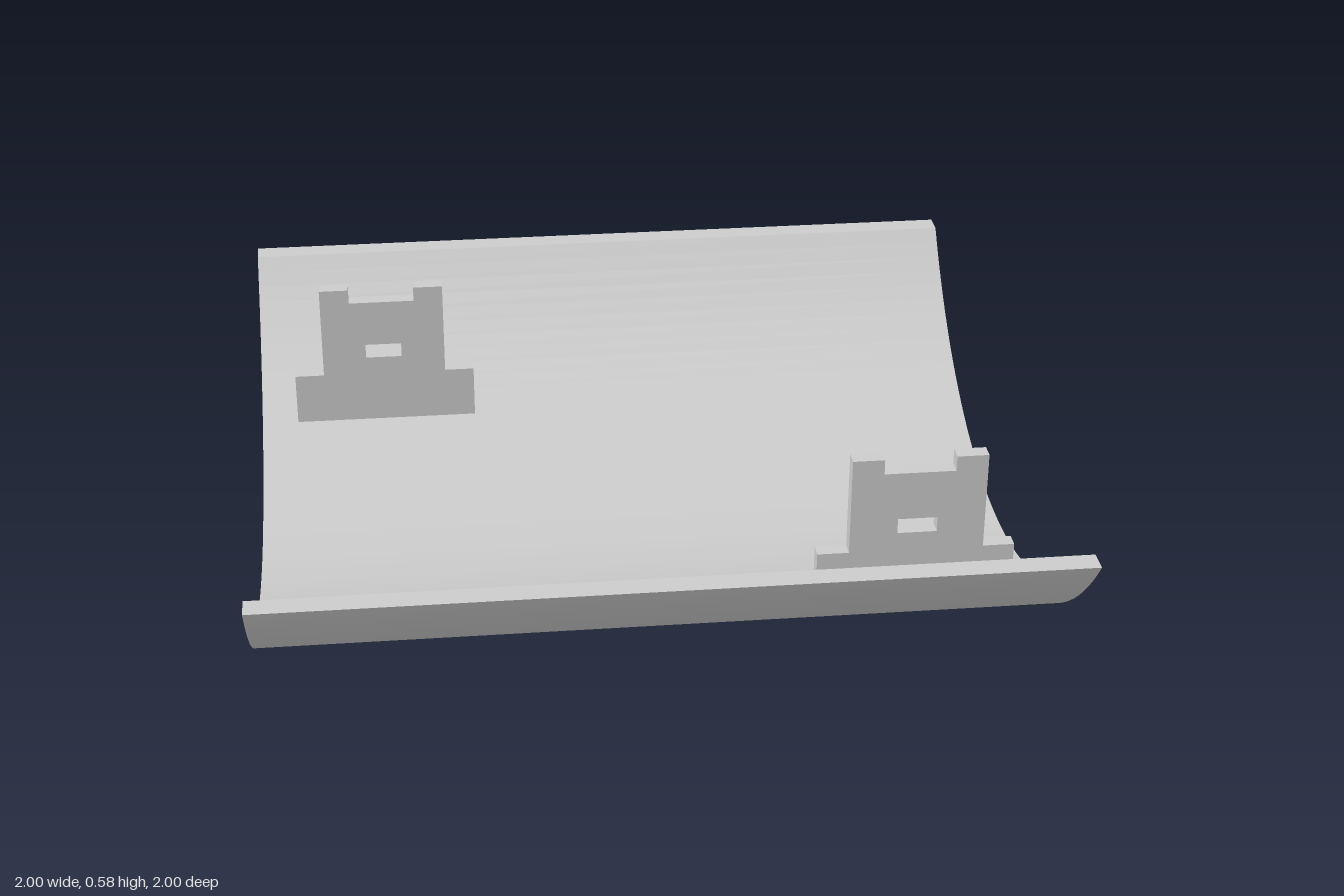
import * as THREE from 'three';

const material = new THREE.MeshStandardMaterial({ color: 0xcccccc, flatShading: true });

// Points of a shallow arc from -half to +half, rising from `bottom` to `top`
function arcPoints(half, bottom, top, segments = 48) {
  const rise = top - bottom;
  const radius = (half * half + rise * rise) / (2 * rise);
  const sweep = Math.asin(half / radius);
  const points = [];
  for (let i = 0; i <= segments; i++) {
    const a = sweep * (2 * i / segments - 1);
    points.push(new THREE.Vector2(radius * Math.sin(a), bottom + radius * (1 - Math.cos(a))));
  }
  return points;
}

// Curved trough with flat rims, running along x
function createShell() {
  const outer = arcPoints(1, 0, 0.5);
  const inner = arcPoints(0.94, 0.06, 0.5).reverse();
  const geometry = new THREE.ExtrudeGeometry(new THREE.Shape([...outer, ...inner]), {
    depth: 2, bevelEnabled: false,
  });
  geometry.translate(0, 0, -1).rotateY(Math.PI / 2);
  const mesh = new THREE.Mesh(geometry, material);
  mesh.name = 'curvedShell';
  return mesh;
}

// Upright plate with shoulders, two top tabs and a small slot
function createBracket(name, x, z) {
  const half = [[0.25, 0.17], [0.25, 0.32], [0.17, 0.32], [0.17, 0.58], [0.09, 0.58], [0.09, 0.54]];
  const mirrored = half.map(([px, py]) => [-px, py]).reverse();
  const toVector = ([px, py]) => new THREE.Vector2(px, py);
  const shape = new THREE.Shape([...half, ...mirrored].map(toVector));
  const slot = [[-0.05, 0.37], [-0.05, 0.41], [0.05, 0.41], [0.05, 0.37]];
  shape.holes.push(new THREE.Path(slot.map(toVector)));

  const geometry = new THREE.ExtrudeGeometry(shape, { depth: 0.04, bevelEnabled: false });
  geometry.translate(0, 0, -0.02);
  const mesh = new THREE.Mesh(geometry, material);
  mesh.name = name;
  mesh.position.set(x, 0, z);
  return mesh;
}

export function createModel() {
  const group = new THREE.Group();
  group.name = 'curvedTrough';
  group.add(
    createShell(),
    createBracket('frontBracket', 0.65, 0.56),
    createBracket('backBracket', -0.65, -0.54),
  );
  return group;
}
